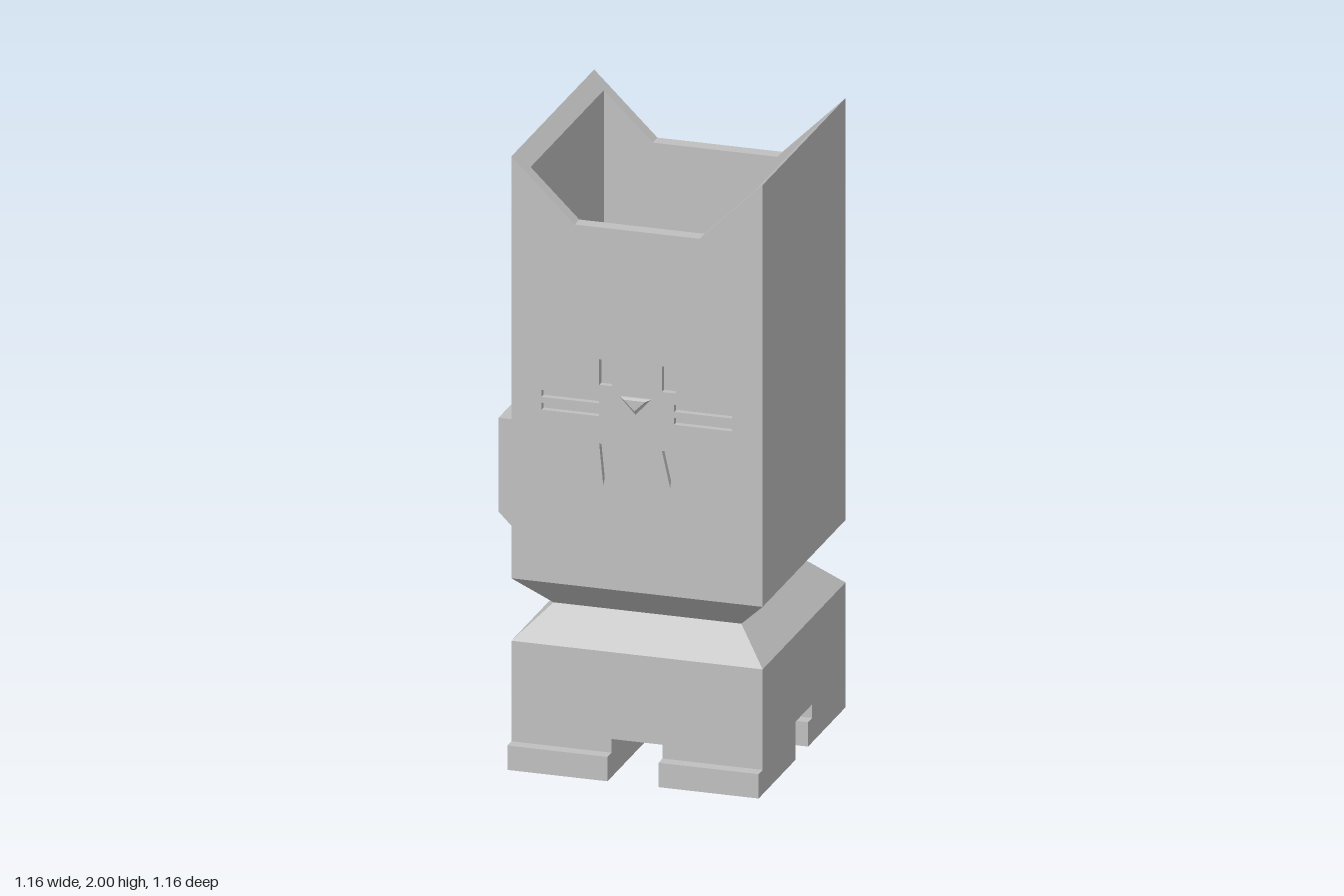
import * as THREE from 'three';

const grey = new THREE.MeshStandardMaterial({ color: 0xc0c0c0, flatShading: true });
grey.name = 'light grey';

// Main block extents
const X0 = -0.235, X1 = 0.58, Z0 = -0.275, Z1 = 0.54;
const CX = (X0 + X1) / 2, CZ = (Z0 + Z1) / 2, SIZE = X1 - X0;
const WALL = 0.047, GROOVE = 0.02;
const SHELL_Y = 0.615, EAR_Y = 2, RIM_Y = 1.8, EAR_W = 0.205;

export function createModel() {
  const root = new THREE.Group();
  root.name = 'catPlanter';

  const add = (parent, name, geometry) => {
    const mesh = new THREE.Mesh(geometry, grey);
    mesh.name = name;
    parent.add(mesh);
    return mesh;
  };
  const group = (name) => {
    const g = new THREE.Group();
    g.name = name;
    root.add(g);
    return g;
  };
  const box = (parent, name, x0, x1, y0, y1, z0, z1) =>
    add(parent, name, new THREE.BoxGeometry(x1 - x0, y1 - y0, z1 - z0)
      .translate((x0 + x1) / 2, (y0 + y1) / 2, (z0 + z1) / 2));
  const shape = (pts) => new THREE.Shape(pts.map(([x, y]) => new THREE.Vector2(x, y)));
  const slab = (parent, name, outline, z0, z1) =>
    add(parent, name, new THREE.ExtrudeGeometry(outline, { depth: z1 - z0, bevelEnabled: false })
      .translate(0, 0, z0));
  const rect = (x0, x1, y0, y1) => [[x0, y0], [x1, y0], [x1, y1], [x0, y1]];

  // Hollow body: front and back walls with ears
  const body = group('body');
  const wallOutline = () => shape([
    [X0, SHELL_Y], [X1, SHELL_Y], [X1, EAR_Y], [X1 - EAR_W, RIM_Y], [X0 + EAR_W, RIM_Y], [X0, EAR_Y],
  ]);
  slab(body, 'backWall', wallOutline(), Z0, Z0 + WALL);
  slab(body, 'frontWallInner', wallOutline(), Z1 - WALL, Z1 - GROOVE);

  // Face engraved into the front skin: eyes, whiskers, fangs
  const face = wallOutline();
  face.holes = [
    rect(0.05, 0.092, 1.283, 1.367),
    rect(0.253, 0.297, 1.283, 1.367),
    ...[[1.222, 1.245], [1.18, 1.203]].flatMap(([y0, y1]) => [
      rect(-0.137, 0.05, y0, y1), rect(0.293, 0.48, y0, y1),
    ]),
    [[0.05, 1.09], [0.092, 1.09], [0.063, 0.955]],
    [[0.253, 1.09], [0.297, 1.09], [0.28, 0.97]],
  ].map(shape);
  slab(body, 'faceSkin', face, Z1 - GROOVE, Z1);

  // Side walls, their rims sloping inward with the ears
  const rimDrop = WALL * (EAR_Y - RIM_Y) / EAR_W;
  for (const [name, outer, inner] of [['rightWall', X0, X0 + WALL], ['leftWall', X1, X1 - WALL]]) {
    slab(body, name, shape([
      [outer, SHELL_Y], [inner, SHELL_Y], [inner, EAR_Y - rimDrop], [outer, EAR_Y],
    ]), Z0 + WALL, Z1 - WALL);
  }
  box(body, 'cavityFloor', X0 + WALL, X1 - WALL, SHELL_Y, SHELL_Y + WALL, Z0 + WALL, Z1 - WALL);

  // Nose with bevelled edges
  add(root, 'nose', new THREE.ExtrudeGeometry(
    shape([[0.137, 1.253], [0.1725, 1.219], [0.208, 1.253]]),
    { depth: 0.007, bevelThickness: 0.009, bevelSize: 0.011, bevelSegments: 1 },
  ).translate(0, 0, Z1 + 0.009));

  // Pinched square neck
  const neck = group('neck');
  const taper = (name, bottom, top, y0, y1) =>
    add(neck, name, new THREE.CylinderGeometry(top * Math.SQRT1_2, bottom * Math.SQRT1_2, y1 - y0, 4, 1, true)
      .rotateY(Math.PI / 4).translate(CX, (y0 + y1) / 2, CZ));
  taper('neckLower', SIZE, SIZE - 0.206, 0.41, 0.512);
  taper('neckUpper', SIZE - 0.206, SIZE, 0.512, SHELL_Y);

  // Lower block on four feet with toes pointing forward
  const base = group('base');
  const LEG = 0.125, TOE = 0.08;
  box(base, 'lowerBlock', X0, X1, LEG, 0.41, Z0, Z1);
  for (const [side, x0, x1] of [['Right', X0, 0.09], ['Left', 0.255, X1]]) {
    for (const [end, z0, z1] of [['front', 0.215, Z1], ['back', Z0, 0.053]]) {
      box(base, end + side + 'Foot', x0, x1, 0, LEG, z0, z1);
      box(base, end + side + 'Toe', x0, x1, 0, TOE, z1, z1 + 0.04);
    }
  }

  // Tail: a link from the back, then a bent bar rising to the side
  const tail = group('tail');
  box(tail, 'tailLink', 0.072, 0.273, 0, 0.205, -0.38, Z0);
  slab(tail, 'tailBar', shape([
    [0.273, 0], [0.273, 0.205], [-0.03, 0.205], [-0.38, 0.555],
    [-0.38, 0.78], [-0.58, 0.78], [-0.58, 0.472], [-0.11, 0],
  ]), -0.58, -0.38);

  return root;
}
